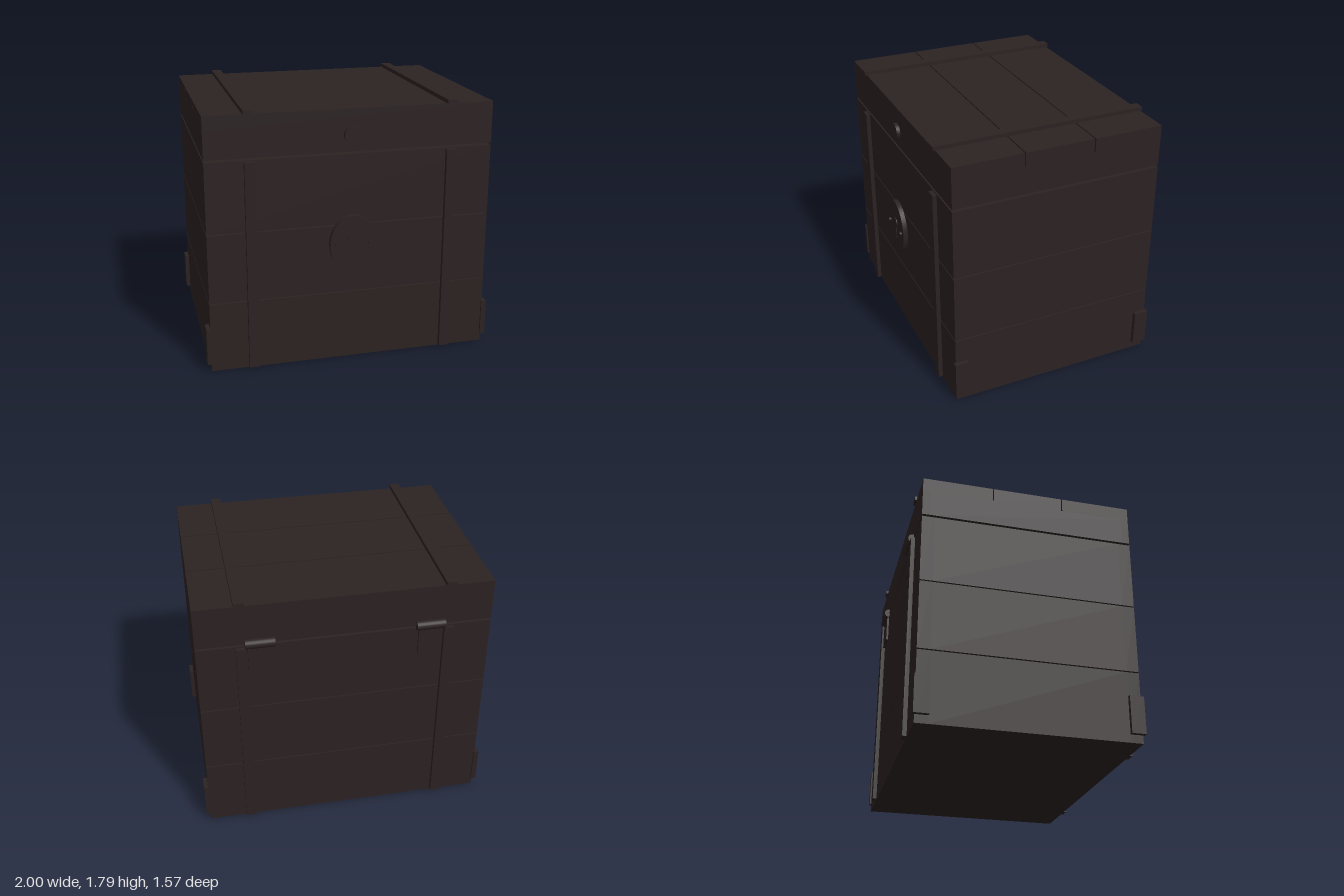
import * as THREE from 'three';

export function createModel() {
  const chest = new THREE.Group();
  chest.name = 'woodenChest';
  const darkWood = new THREE.MeshStandardMaterial({ color: 0x2c2222 });
  darkWood.name = 'dark brown';

  const add = (name, geometry, x = 0, y = 0, z = 0) => {
    const mesh = new THREE.Mesh(geometry, darkWood);
    mesh.name = name;
    mesh.position.set(x, y, z);
    chest.add(mesh);
    return mesh;
  };
  // Box given by its lower and upper limits on each axis
  const block = (name, [x0, x1], [y0, y1], [z0, z1]) =>
    add(name, new THREE.BoxGeometry(x1 - x0, y1 - y0, z1 - z0),
      (x0 + x1) / 2, (y0 + y1) / 2, (z0 + z1) / 2);
  // Disc with its axis along z
  const disc = (name, r, z0, z1, x, y, segments = 32) => {
    const g = new THREE.CylinderGeometry(r, r, z1 - z0, segments).rotateX(Math.PI / 2);
    return add(name, g, x, y, (z0 + z1) / 2);
  };

  const W = 0.972, FRONT = 0.715, BACK = -0.745, T = 0.085;

  // Four butt-jointed walls around an open middle
  const ring = (name, y, t) => {
    block(name + 'Front', [-W, W], y, [FRONT - t, FRONT]);
    block(name + 'Back', [-W, W], y, [BACK, BACK + t]);
    for (const s of [-1, 1]) {
      const x = s > 0 ? [W - t, W] : [-W, t - W];
      block(name + 'Side', x, y, [BACK + t, FRONT - t]);
    }
  };

  // Body: three courses of planks with narrow gaps, and a floor
  for (const y of [[0.004, 0.49], [0.498, 0.975], [0.983, 1.465]]) ring('bodyPlank', y, T);
  block('floor', [T - W, W - T], [0.004, 0.09], [BACK + T, FRONT - T]);

  // Lid: low walls under three top planks
  ring('lidWall', [1.48, 1.669], 0.055);
  const step = (FRONT - BACK) / 3;
  for (let i = 0; i < 3; i++) {
    const z0 = BACK + i * step;
    block('lidPlank', [-W, W], [1.669, 1.765],
      [z0 + (i > 0 ? 0.004 : 0), z0 + step - (i < 2 ? 0.004 : 0)]);
  }

  for (const s of [-1, 1]) {
    // Battens on front, back and lid
    const x = [s * 0.682 - 0.034, s * 0.682 + 0.034];
    block('frontBatten', x, [0.013, 1.457], [FRONT, 0.744]);
    block('backBatten', x, [0.013, 1.457], [-0.773, BACK]);
    block('lidBatten', x, [1.765, 1.792], [-0.757, 0.732]);

    // Corner blocks at the foot of each side
    const side = s > 0 ? [0.965, 1] : [-1, -0.965];
    block('frontCornerBlock', side, [0.06, 0.316], [0.63, 0.727]);
    block('backCornerBlock', side, [0.06, 0.316], [-0.757, -0.655]);

    // Hinges: barrel, hanging leaf and leaf under the lid
    const barrel = new THREE.CylinderGeometry(0.032, 0.032, 0.192, 20).rotateZ(Math.PI / 2);
    add('hingeBarrel', barrel, s * 0.56, 1.485, -0.752);
    block('hingeLeaf', [s * 0.56 - 0.08, s * 0.56 + 0.08], [1.26, 1.48], [-0.76, BACK]);
    block('hingeLidLeaf', [s * 0.56 - 0.096, s * 0.56 + 0.096], [1.469, 1.481], [-0.75, -0.635]);

    // Rivets of the lock plate
    disc('lockRivet', 0.014, 0.765, 0.782, s * 0.113, 0.857, 16);
  }

  // Round stud on the lid
  disc('lidStud', 0.057, FRONT, 0.74, 0, 1.595);

  // Oval lock plate
  disc('lockPlate', 1, 0.735, 0.767, 0, 0.857, 48).scale.set(0.16, 0.197, 1);

  // Keyhole: round head with a slot below
  const keyhole = new THREE.Shape();
  keyhole.moveTo(-0.014, 0.77);
  keyhole.lineTo(0.014, 0.77);
  keyhole.lineTo(0.014, 0.857);
  keyhole.absarc(0, 0.89, 0.038, -1.19, Math.PI + 1.19, false);
  keyhole.closePath();
  add('keyhole', new THREE.ExtrudeGeometry(keyhole,
    { depth: 0.006, bevelEnabled: false, curveSegments: 16 }), 0, 0, 0.767);

  return chest;
}
